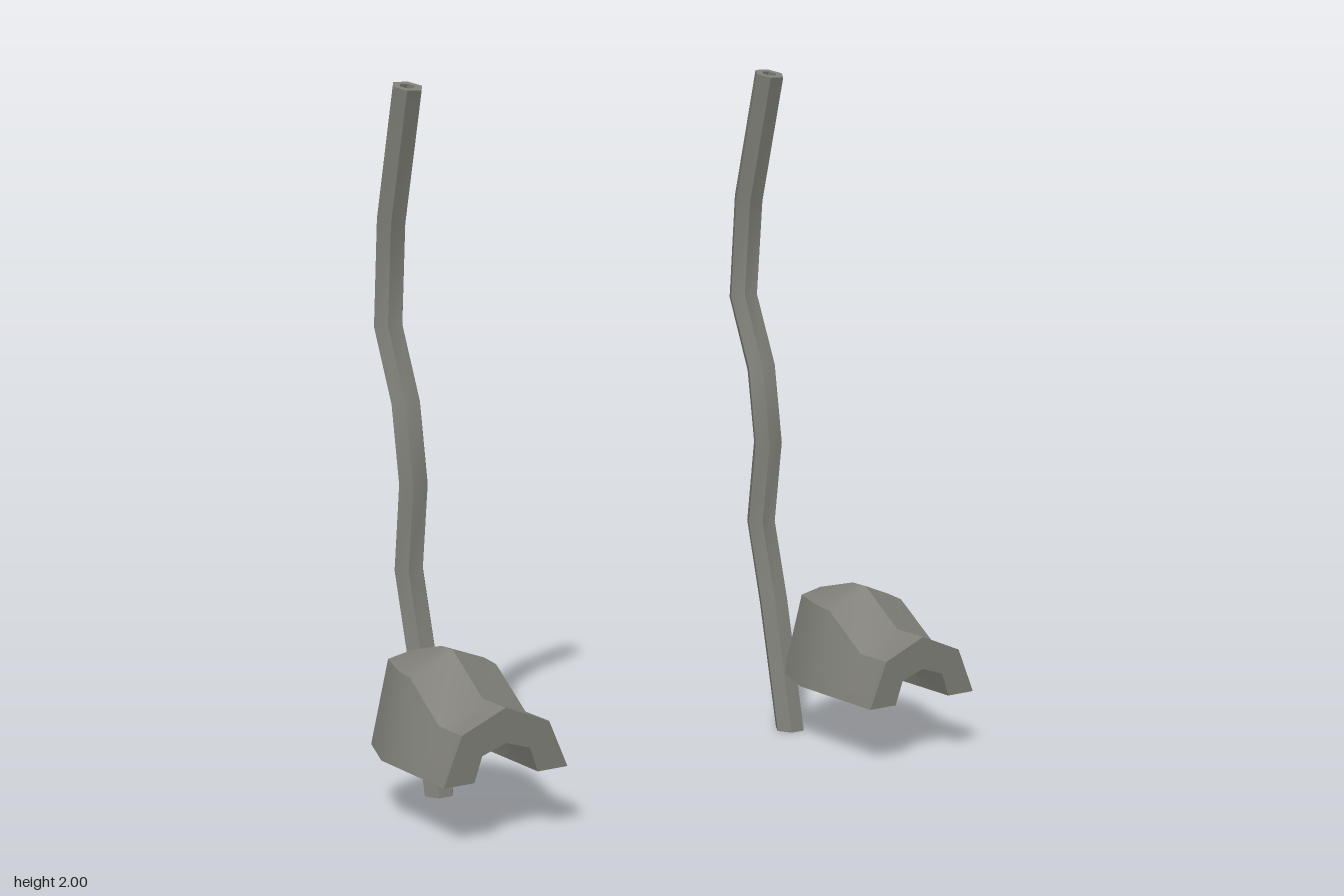
import * as THREE from 'three';
import { toCreasedNormals } from 'three/addons/utils/BufferGeometryUtils.js';

const metal = new THREE.MeshStandardMaterial({ color: 0x7f7f78 });
metal.name = 'warm grey metal';

// Skin a list of closed loops of points, dropping collapsed triangles
function skin(rows) {
  const pos = [];
  const tri = (a, b, c) => {
    if (new THREE.Triangle(a, b, c).getArea() < 1e-7) return;
    for (const p of [a, b, c]) pos.push(p.x, p.y, p.z);
  };
  for (let i = 0; i < rows.length - 1; i++) {
    const n = rows[i].length;
    for (let j = 0; j < n; j++) {
      const k = (j + 1) % n;
      tri(rows[i][j], rows[i][k], rows[i + 1][k]);
      tri(rows[i][j], rows[i + 1][k], rows[i + 1][j]);
    }
  }
  const g = new THREE.BufferGeometry();
  g.setAttribute('position', new THREE.Float32BufferAttribute(pos, 3));
  return toCreasedNormals(g, 0.65);
}

// Bent hexagonal pipe: centre line as [y, z]
function pipeGeometry() {
  const path = [
    [0, -0.095], [0.386, -0.183], [0.625, -0.25], [0.875, -0.217],
    [1.1, -0.254], [1.31, -0.348], [1.61, -0.323], [1.99, -0.222],
  ].map(([y, z]) => new THREE.Vector3(0, y, z));
  const last = path.length - 1;
  const ring = (i, r) => {
    const c = path[i];
    const t = new THREE.Vector3(0, 1, 0); // the foot is cut level
    if (i > 0) {
      t.subVectors(c, path[i - 1]).normalize();
      if (i < last) t.add(path[i + 1].clone().sub(c).normalize()).normalize();
    }
    return Array.from({ length: 6 }, (_, k) => {
      const a = (k * Math.PI) / 3, s = -Math.sin(a) * r;
      return new THREE.Vector3(Math.cos(a) * r, c.y - t.z * s, c.z + t.y * s);
    });
  };
  const outer = path.map((_, i) => ring(i, 0.046));
  const inner = path.map((_, i) => ring(i, 0.023));
  return skin([...outer, ...inner.reverse(), outer[0]]);
}

// Arched cover with a hollow channel below and a rounded back
function coverGeometry() {
  const V = (x, y, z) => new THREE.Vector3(x, y, z);
  // base, shoulder and ridge as [x, y, z], mirrored across the ridge
  const arch = ([b, s, r]) => [
    V(-b[0], b[1], b[2]), V(-s[0], s[1], s[2]), V(...r), V(s[0], s[1], s[2]), V(b[0], b[1], b[2]),
  ];
  const y0 = 0.175;
  const straight = (b, s, list) => list.map(([z, ys, yr]) => [[b, y0, z], [s, ys, z], [0, yr, z]]);
  const outer = [
    ...straight(0.195, 0.137, [[0.387, 0.31, 0.367], [0.267, 0.31, 0.367], [0.115, 0.412, 0.47], [0.053, 0.418, 0.47]]),
    [[0.135, y0, -0.11], [0.1, 0.422, -0.07], [0, 0.427, -0.108]],
    [[0, y0, -0.165], [0, 0.427, -0.108], [0, 0.427, -0.108]],
  ].map(arch);
  const inner = [
    ...straight(0.1, 0.075, [[0.387, 0.245, 0.27], [0.267, 0.245, 0.27], [0.115, 0.33, 0.37], [0.053, 0.335, 0.37]]),
    [[0.07, y0, -0.04], [0.055, 0.335, -0.02], [0, 0.34, -0.04]],
    [[0, y0, -0.075], [0, 0.34, -0.04], [0, 0.34, -0.04]],
  ].map(arch);
  const loops = outer.map((o, i) => [...o, ...inner[i].slice().reverse()]);
  // front rim starts from the inner arch
  return skin([[...inner[0], ...inner[0].slice().reverse()], ...loops]);
}

export function createModel() {
  const model = new THREE.Group();
  model.name = 'pipesAndCovers';
  const add = (name, geometry, x) => {
    const mesh = new THREE.Mesh(geometry, metal);
    mesh.name = name;
    mesh.position.x = x;
    model.add(mesh);
  };
  const pipe = pipeGeometry(), cover = coverGeometry();
  add('leftPipe', pipe, 0.598);
  add('rightPipe', pipe, -0.647);
  add('leftCover', cover, 0.72);
  add('rightCover', cover, -0.72);
  return model;
}
